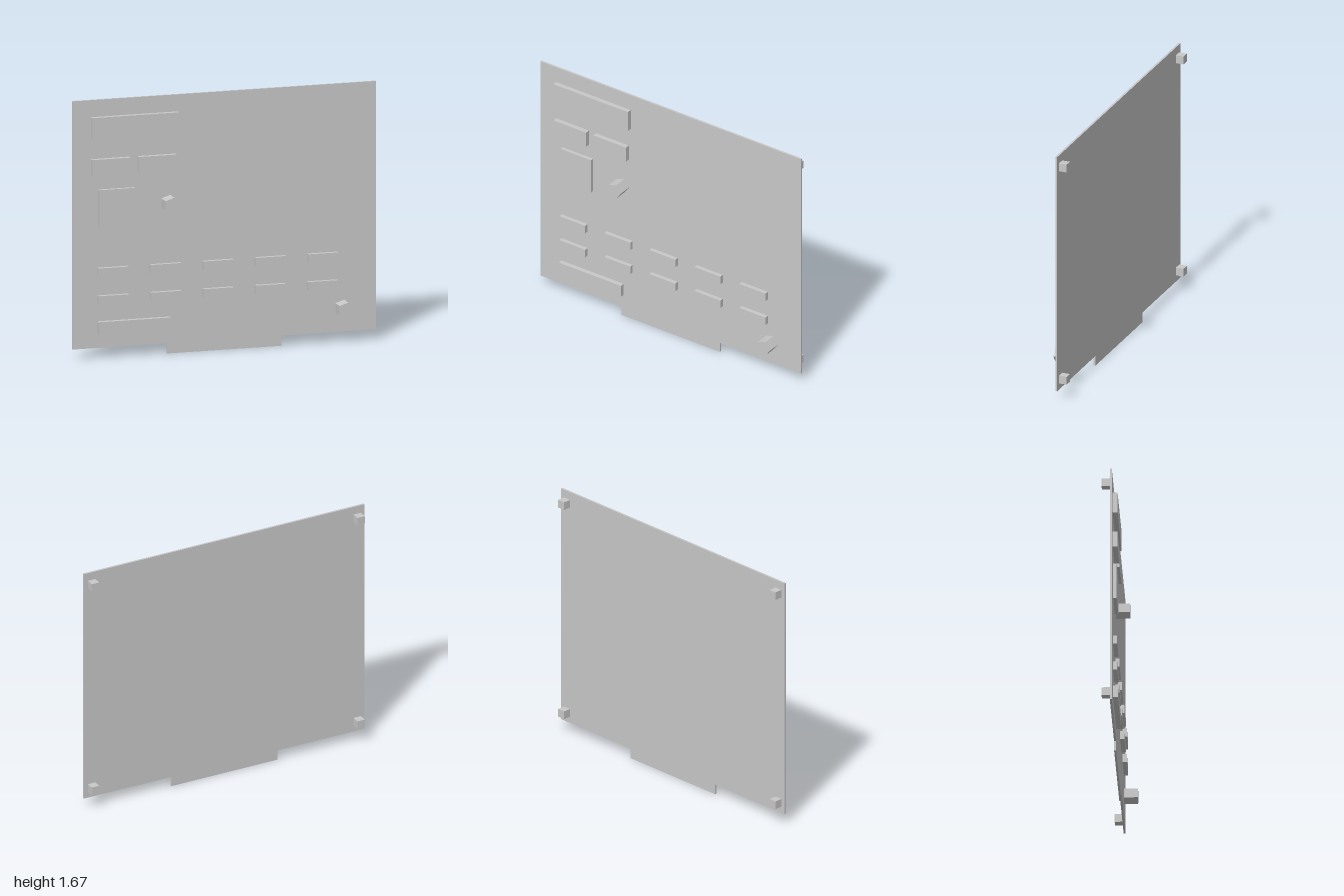
import * as THREE from 'three';

export function createModel() {
  const model = new THREE.Group();
  const grey = new THREE.MeshStandardMaterial({ color: 0xc8c8c8 });
  grey.name = 'plainGrey';
  grey.flatShading = true;

  const BACK = -0.024, FRONT = -0.011, DEPTH = 0.077;

  function add(name, geometry, x, y, z) {
    const mesh = new THREE.Mesh(geometry, grey);
    mesh.name = name;
    mesh.position.set(x, y, z);
    model.add(mesh);
  }

  // Box given by its edges, standing on the board's front face
  function chip(name, x0, x1, y0, y1, top) {
    const geometry = new THREE.BoxGeometry(x1 - x0, y1 - y0, top - FRONT);
    add(name, geometry, (x0 + x1) / 2, (y0 + y1) / 2, (top + FRONT) / 2);
  }

  // Board with the connector tab on its lower edge
  const outline = new THREE.Shape([
    [-0.378, 0], [0.378, 0], [0.378, 0.066], [1, 0.066],
    [1, 1.668], [-1, 1.668], [-1, 0.066], [-0.378, 0.066],
  ].map(([x, y]) => new THREE.Vector2(x, y)));
  add('board', new THREE.ExtrudeGeometry(outline, { depth: FRONT - BACK, bevelEnabled: false }), 0, 0, BACK);

  // Large chips
  chip('longUpperChip', -0.88, -0.307, 1.418, 1.558, 0.02);
  chip('middleChipRight', -0.88, -0.628, 1.183, 1.287, 0.02);
  chip('middleChipLeft', -0.572, -0.322, 1.183, 1.287, 0.02);
  chip('squareChip', -0.832, -0.596, 0.847, 1.088, 0.012);
  chip('longLowerChip', -0.838, -0.361, 0.157, 0.238, 0.02);

  // Two rows of small chips
  for (const y of [0.377, 0.556]) {
    for (let i = 0; i < 5; i++) {
      const x = -0.738 + i * 0.346;
      chip('smallChip', x - 0.1, x + 0.1, y - 0.028, y + 0.028, 0.016);
    }
  }

  // Five-sided capacitors with one corner towards +x
  for (const [x, y] of [[-0.373, 0.973], [0.775, 0.221]]) {
    const geometry = new THREE.CylinderGeometry(0.052, 0.052, DEPTH - FRONT, 5)
      .rotateX(Math.PI / 2).rotateZ(Math.PI / 2);
    add('capacitor', geometry, x, y, (DEPTH + FRONT) / 2);
  }

  // Standoffs at the back corners
  for (const x of [-0.947, 0.947]) {
    for (const y of [0.136, 1.588]) {
      add('standoff', new THREE.BoxGeometry(0.053, 0.053, DEPTH + BACK), x, y, (BACK - DEPTH) / 2);
    }
  }

  return model;
}
